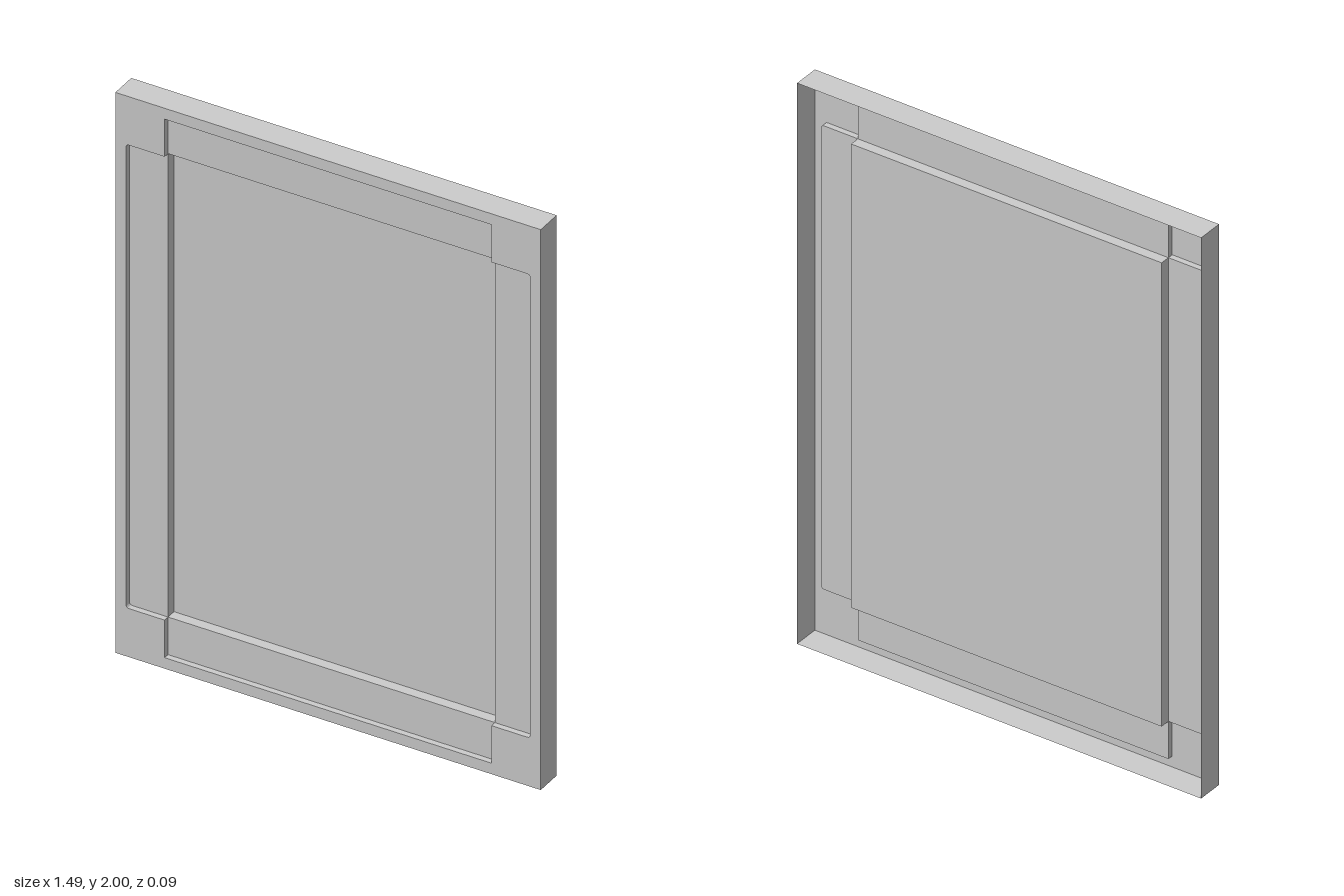
import * as THREE from 'three';

const HALF_W = 0.743, HALF_H = 1, HALF_D = 0.0465; // outer size
const TALL = [0.571, 0.961];                       // half size of the tall recess
const WIDE = [0.706, 0.827];                       // half size of the wide recess
const ROUND = 0.01;                                // corner radius of the wide recess
const STEP_Z = HALF_D - 0.02;                      // floor of the cross-shaped recess
const WELL_Z = HALF_D - 0.055;                     // floor of the central panel

const material = new THREE.MeshStandardMaterial({ color: 0xcccccc, side: THREE.DoubleSide });

// Mirrors one quadrant of points into a closed counter-clockwise outline
function mirrorOutline(quadrant) {
  const points = [];
  for (const [sx, sy] of [[1, 1], [-1, 1], [-1, -1], [1, -1]]) {
    const part = quadrant.map(([x, y]) => new THREE.Vector2(x * sx, y * sy));
    points.push(...(sx * sy > 0 ? part : part.reverse()));
  }
  return points;
}

// Flat, front-facing sheet with an optional hole
function sheet(name, outline, z, hole) {
  const shape = new THREE.Shape(outline);
  if (hole) shape.holes.push(new THREE.Path(hole));
  const mesh = new THREE.Mesh(new THREE.ShapeGeometry(shape), material);
  mesh.position.z = z;
  mesh.name = name;
  return mesh;
}

// Wall along an outline; faces outward when z0 < z1, inward otherwise
function wall(name, outline, z0, z1) {
  const positions = [];
  outline.forEach((a, i) => {
    const b = outline[(i + 1) % outline.length];
    positions.push(a.x, a.y, z0, b.x, b.y, z0, b.x, b.y, z1);
    positions.push(a.x, a.y, z0, b.x, b.y, z1, a.x, a.y, z1);
  });
  const geometry = new THREE.BufferGeometry();
  geometry.setAttribute('position', new THREE.Float32BufferAttribute(positions, 3));
  geometry.computeVertexNormals();
  const mesh = new THREE.Mesh(geometry, material);
  mesh.name = name;
  return mesh;
}

export function createModel() {
  const rim = mirrorOutline([[HALF_W, HALF_H]]);
  const well = mirrorOutline([[TALL[0], WIDE[1]]]);

  // Cross outline: the wide and tall recesses joined
  const corner = [0, 1, 2, 3].map((i) => {
    const t = (i / 3) * Math.PI / 2;
    return [WIDE[0] - ROUND + ROUND * Math.cos(t), WIDE[1] - ROUND + ROUND * Math.sin(t)];
  });
  const cross = mirrorOutline([...corner, [TALL[0], WIDE[1]], TALL]);

  // Open-backed shell, stepping down from rim to cross to central panel
  const model = new THREE.Group();
  model.name = 'recessedPanel';
  model.add(
    wall('outerSides', rim, -HALF_D, HALF_D),
    sheet('frontFrame', rim, HALF_D, cross),
    wall('crossRecessWalls', cross, HALF_D, STEP_Z),
    sheet('crossRecessFloor', cross, STEP_Z, null),
    wall('centralPanelWalls', well, STEP_Z, WELL_Z),
    sheet('centralPanel', well, WELL_Z),
  );

  // The cross floor is four separate arms around the central panel
  model.remove(model.getObjectByName('crossRecessFloor'));
  for (const s of [1, -1]) {
    const end = mirrorOutline([[TALL[0], (TALL[1] - WIDE[1]) / 2]]);
    const ledge = sheet(s > 0 ? 'topLedge' : 'bottomLedge', end, STEP_Z);
    ledge.position.y = s * (TALL[1] + WIDE[1]) / 2;
    const side = [...corner, [TALL[0], WIDE[1]], [TALL[0], -WIDE[1]],
      ...corner.map(([x, y]) => [x, -y]).reverse()].map(([x, y]) => new THREE.Vector2(x * s, y));
    model.add(ledge, sheet(s > 0 ? 'leftLedge' : 'rightLedge', side, STEP_Z));
  }

  // Stand on the ground
  for (const part of model.children) part.position.y += HALF_H;
  return model;
}
